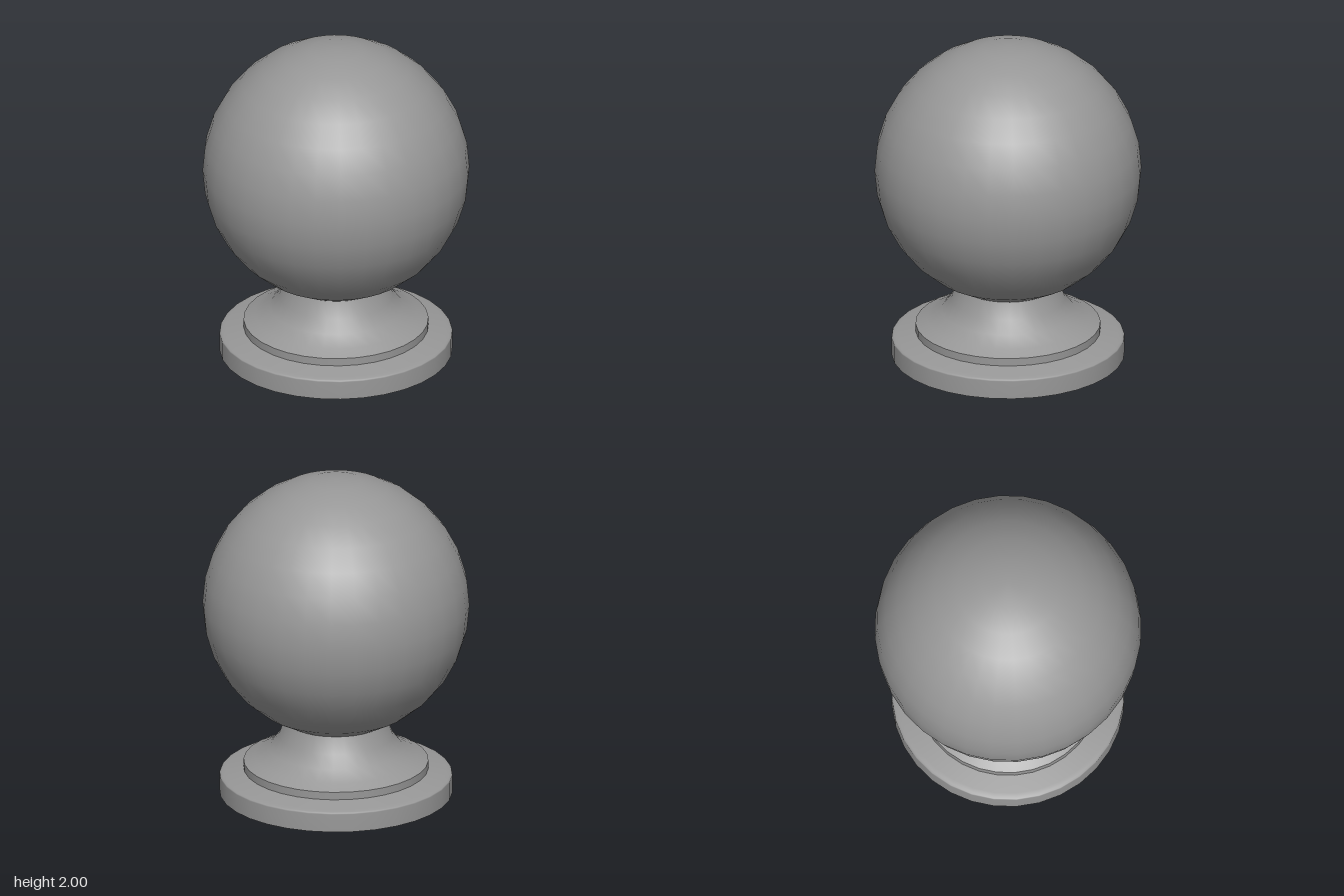
import * as THREE from 'three';

const SIDES = 32;
const BALL_RADIUS = 0.8;
const BALL_Y = 1.2;
const NECK_ANGLE = Math.PI / 8; // cut-off at the bottom of the ball

export function createModel() {
  const model = new THREE.Group();
  model.name = 'ballFinial';
  const material = new THREE.MeshStandardMaterial({ color: 0x979797 });

  const add = (name, geometry) => {
    const mesh = new THREE.Mesh(geometry, material);
    mesh.name = name;
    model.add(mesh);
    return mesh;
  };
  // Each turned section is smooth within itself, with a crisp edge to the next
  const turned = (name, profile) =>
    add(name, new THREE.LatheGeometry(profile.map(([r, y]) => new THREE.Vector2(r, y)), SIDES));

  // Underside of the base
  add('baseBottom', new THREE.CircleGeometry(0.698, SIDES)).rotation.x = Math.PI / 2;

  // Base disc with a rounded rim and a softly sloping top
  turned('base', [[0.698, 0], [0.698, 0.112], [0.694, 0.118], [0.684, 0.123], [0.66, 0.13], [0.554, 0.152]]);

  // Small step above the base
  turned('step', [[0.554, 0.152], [0.554, 0.2]]);

  // Concave neck flaring down to the step
  const neckRadius = BALL_RADIUS * Math.sin(NECK_ANGLE);
  const neckY = BALL_Y - BALL_RADIUS * Math.cos(NECK_ANGLE);
  turned('neck', [[0.554, 0.2], [0.488, 0.232], [0.4, 0.285], [0.342, 0.36], [neckRadius, neckY]]);

  // Ball, open where the neck meets it
  add('ball', new THREE.SphereGeometry(
    BALL_RADIUS, SIDES, 14, 0, Math.PI * 2, 0, Math.PI - NECK_ANGLE
  )).position.y = BALL_Y;

  // Slight turn of the facets about the upright axis
  model.rotation.y = THREE.MathUtils.degToRad(8);
  return model;
}
